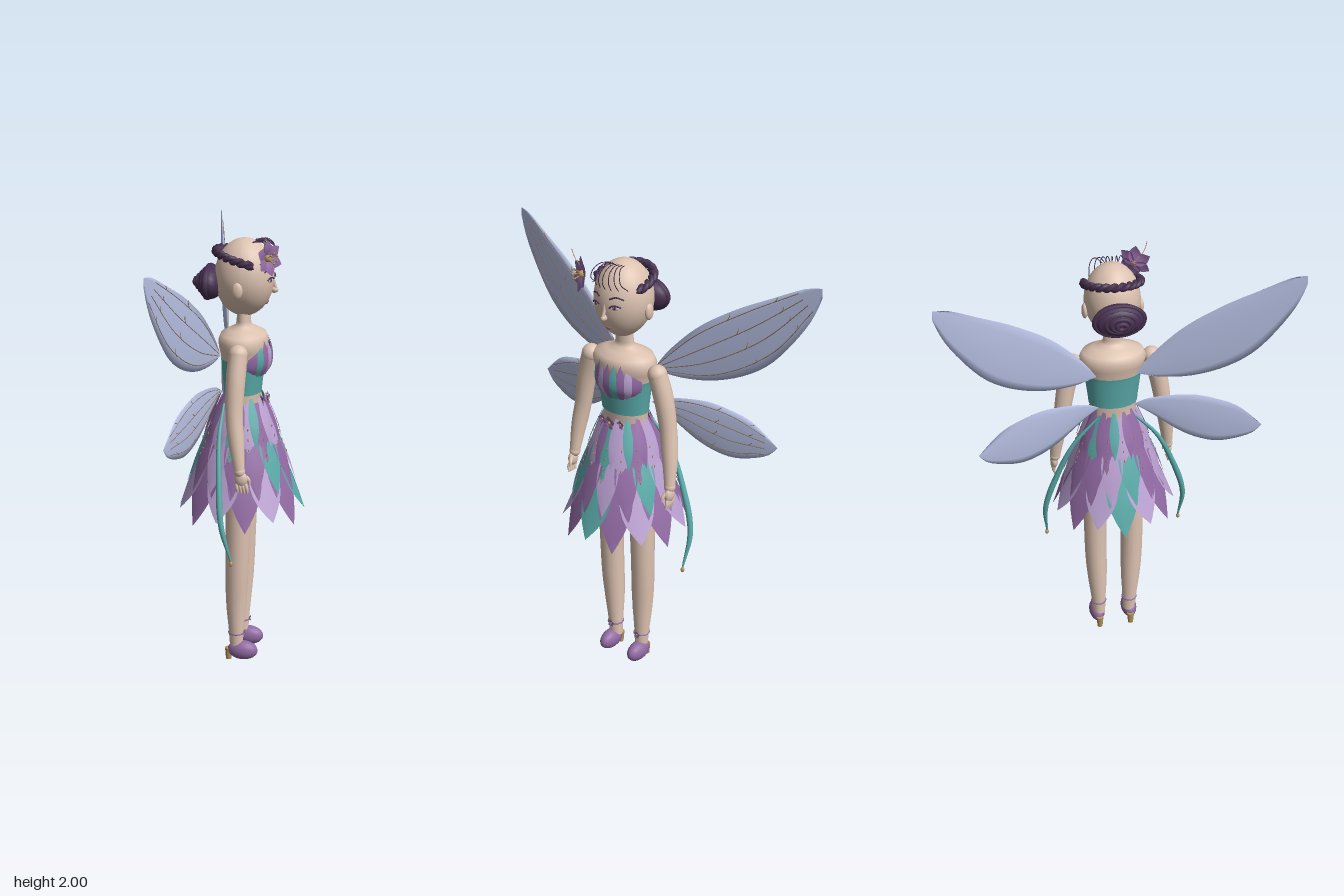
import * as THREE from 'three';

const mat = (name, color, double) => {
  const m = new THREE.MeshStandardMaterial({ color, side: double ? THREE.DoubleSide : THREE.FrontSide });
  m.name = name;
  return m;
};
const V = (x, y, z) => new THREE.Vector3(x, y, z);
const CZ = 0.255; // body axis, forward of the wing tips

export function createModel() {
  const skin = mat('skin', 0xdcc2b0), teal = mat('teal', 0x58a9a7, true), purple = mat('purple', 0x916aa3, true);
  const lilac = mat('lilac', 0xb9a0d0, true), hair = mat('darkHair', 0x46304f), gold = mat('gold', 0xb5965a);
  const wingMat = mat('wingBlue', 0xb6bfe2, true), vein = mat('veinBrown', 0x8f7354);
  const white = mat('eyeWhite', 0xefebe8), lip = mat('lip', 0x9c6068);

  const model = new THREE.Group();
  const figure = new THREE.Group();
  figure.name = 'wingedFigure';
  figure.rotation.y = Math.PI / 4;
  model.add(figure);

  const add = (name, geo, m, parent = figure) => {
    const mesh = new THREE.Mesh(geo, m);
    mesh.name = name;
    parent.add(mesh);
    return mesh;
  };
  const ball = (name, m, p, s, parent, seg = 20) => {
    const mesh = add(name, new THREE.SphereGeometry(1, seg, Math.ceil(seg * 0.7)), m, parent);
    mesh.position.set(...p);
    mesh.scale.set(...s);
    return mesh;
  };
  const surface = (pos, idx) => {
    const geo = new THREE.BufferGeometry();
    geo.setAttribute('position', new THREE.Float32BufferAttribute(pos, 3));
    geo.setIndex(idx);
    geo.computeVertexNormals();
    return geo;
  };
  const curveOf = pts => new THREE.CatmullRomCurve3(pts.map(p => V(...p)));
  const tube = (name, m, pts, r, parent, seg = 16, sides = 6) =>
    add(name, new THREE.TubeGeometry(curveOf(pts), seg, r, sides), m, parent);
  // Tube whose radius follows a list of values along its length
  const limb = (name, m, pts, radii, parent) => {
    const curve = curveOf(pts), seg = 28, sides = 16;
    const geo = new THREE.TubeGeometry(curve, seg, 1, sides), pos = geo.attributes.position, v = V(0, 0, 0);
    for (let i = 0; i < pos.count; i++) {
      const t = Math.floor(i / (sides + 1)) / seg, f = t * (radii.length - 1), k = Math.min(Math.floor(f), radii.length - 2);
      const c = curve.getPointAt(t), r = THREE.MathUtils.lerp(radii[k], radii[k + 1], f - k);
      v.fromBufferAttribute(pos, i).sub(c).multiplyScalar(r).add(c);
      pos.setXYZ(i, v.x, v.y, v.z);
    }
    return add(name, geo, m, parent);
  };
  const lathe = (name, m, profile, depth) => {
    const mesh = add(name, new THREE.LatheGeometry(profile.map(p => new THREE.Vector2(...p)), 40), m);
    mesh.scale.z = depth;
    mesh.position.z = CZ;
  };
  // Folded, pointed petal following a profile of [radius, y] around a vertical axis
  const petal = (name, m, angle, profile, width, { bias = 1, beads = 0, parent = figure } = {}) => {
    const curve = curveOf(profile.map(([r, y]) => [0, y, r])), n = 12, pos = [], idx = [];
    for (let i = 0; i <= n; i++) {
      const t = i / n, c = curve.getPoint(t), w = width * Math.sin(Math.PI * (0.1 + 0.9 * Math.pow(t, bias)));
      for (let s = -1; s <= 1; s++) pos.push(s * w, c.y, c.z - Math.abs(s) * w * 0.15);
      if (i < n) for (let s = 0; s < 2; s++) {
        const a = i * 3 + s;
        idx.push(a, a + 3, a + 1, a + 1, a + 3, a + 4);
      }
    }
    const g = new THREE.Group();
    g.name = name;
    g.rotation.y = angle;
    if (parent === figure) g.position.z = CZ;
    parent.add(g);
    add(name + 'Blade', surface(pos, idx), m, g);
    for (let i = 1; i <= beads; i++) {
      const c = curve.getPoint(0.25 + 0.7 * i / beads);
      ball(name + 'Bead', gold, [0, c.y, c.z + 0.002], [0.0025, 0.007, 0.0025], g, 6);
    }
  };

  // Torso, neck and strapless bodice
  lathe('torso', skin, [[0.1, 1.15], [0.106, 1.24], [0.108, 1.3], [0.123, 1.42], [0.145, 1.48], [0.152, 1.515], [0.138, 1.545],
    [0.09, 1.565], [0.05, 1.58], [0.043, 1.6], [0.042, 1.68]], 0.72);
  lathe('bodice', teal, [[0.112, 1.285], [0.114, 1.31], [0.122, 1.37], [0.128, 1.42], [0.133, 1.44]], 0.74);
  for (const s of [-1, 1]) ball('bust', purple, [s * 0.048, 1.44, 0.318], [0.052, 0.058, 0.046]);
  for (let i = 0; i < 9; i++)
    petal('bodicePetal', [purple, teal, purple, lilac][i % 4], (i - 4) * 0.26,
      [[0.1, 1.365], [0.126, 1.41], [0.13, 1.46], [0.113, 1.528]], i % 2 ? 0.024 : 0.03);

  // Petal skirt over a rounded underskirt
  lathe('underskirt', purple, [[0, 0.74], [0.07, 0.748], [0.13, 0.78], [0.16, 0.84], [0.163, 0.93], [0.14, 1.08], [0.11, 1.21], [0.1, 1.235]], 1);
  const N = 14;
  for (let i = 0; i < N; i++) {
    const a = i * 2 * Math.PI / N, odd = i % 2;
    petal('lowerPetal', i % 7 === 0 ? teal : odd ? purple : lilac, a,
      [[0.12, 1.15], [0.18, 1.0], [0.24, 0.86], [0.288, odd ? 0.71 : 0.75]], 0.076, { bias: 1.25 });
    petal('middlePetal', i % 5 === 2 ? teal : i % 3 ? purple : lilac, a + Math.PI / N,
      [[0.11, 1.2], [0.162, 1.09], [0.207, 0.98], [0.245, 0.86]], 0.05, { bias: 1.2 });
    petal('upperPetal', i % 5 === 0 ? teal : odd ? lilac : purple, a + 0.1,
      [[0.104, 1.25], [0.14, 1.16], [0.175, 1.06], [0.2, odd ? 0.95 : 1.0]], 0.03, { beads: 5 });
    petal('waistPetal', i % 5 === 1 ? teal : i % 3 ? purple : lilac, a + 0.3,
      [[0.1, 1.27], [0.132, 1.2], [0.16, 1.13], [0.178, 1.06]], 0.022);
  }

  // Small blossom with a gold centre, facing +z of its own group
  const blossom = (name, p, r, count, parent = figure) => {
    const g = new THREE.Group();
    g.name = name;
    g.position.set(...p);
    parent.add(g);
    for (let i = 0; i < count; i++) {
      const arm = new THREE.Group();
      arm.rotation.z = i * 2 * Math.PI / count;
      g.add(arm);
      petal(name + 'Petal', purple, 0, [[0, 0], [r * 0.25, r * 0.5], [r * 0.3, r]], r * 0.38, { parent: arm });
    }
    ball(name + 'Centre', gold, [0, 0, r * 0.15], [r * 0.2, r * 0.2, r * 0.2], g, 10);
    return g;
  };
  for (let i = -1; i <= 1; i++) blossom('beltFlower', [i * 0.05, 1.25, 0.362 - Math.abs(i) * 0.012], i ? 0.022 : 0.034, 5);

  // Head, ears and face
  const head = ball('head', skin, [0, 1.793, CZ], [0.125, 0.17, 0.13], figure, 40);
  const hp = head.geometry.attributes.position;
  for (let i = 0; i < hp.count; i++) if (hp.getY(i) < 0) hp.setX(i, hp.getX(i) * (1 - 0.18 * hp.getY(i) ** 2));
  head.geometry.computeVertexNormals();
  const onFace = (x, y, off = 0) => [x, y, CZ + off + 0.13 * Math.sqrt(1 - (x / 0.125) ** 2 - ((y - 1.793) / 0.17) ** 2)];
  ball('nose', skin, [0, 1.742, 0.386], [0.012, 0.014, 0.018]);
  tube('noseBridge', skin, [[0, 1.8, 0.378], [0, 1.77, 0.385], [0, 1.745, 0.394]], 0.008);
  ball('upperLip', lip, onFace(0, 1.69, -0.001), [0.017, 0.004, 0.006]);
  ball('lowerLip', lip, onFace(0, 1.683, -0.001), [0.013, 0.005, 0.007]);
  for (const s of [-1, 1]) {
    ball('ear', skin, [s * 0.125, 1.755, 0.245], [0.014, 0.036, 0.024]);
    const eye = new THREE.Group();
    eye.name = 'eye';
    eye.position.set(...onFace(s * 0.048, 1.793));
    eye.rotation.y = s * 0.4;
    figure.add(eye);
    ball('eyeWhite', white, [0, 0, 0], [0.021, 0.009, 0.004], eye);
    ball('iris', purple, [0, 0, 0.002], [0.01, 0.009, 0.004], eye);
    ball('pupil', hair, [0, 0, 0.004], [0.005, 0.006, 0.003], eye);
    tube('lashes', hair, [[-0.024, -0.001, 0.002], [-0.01, 0.009, 0.004], [0.01, 0.01, 0.004], [0.027, 0.003, 0.001]], 0.0035, eye);
    tube('brow', hair, [0.025, 0.05, 0.08].map((x, i) => onFace(s * x, [1.828, 1.838, 1.828][i], 0.001)), 0.0035);
  }

  // Hair: coiled bun, crown braid and loose fringe strands
  ball('bun', hair, [0, 1.765, 0.11], [0.112, 0.074, 0.058]);
  for (let i = 0; i < 5; i++) {
    const coil = add('bunCoil', new THREE.TorusGeometry(0.108 - i * 0.022, 0.013, 8, 36), hair);
    coil.position.set(0, 1.765, 0.1 - i * 0.014);
    coil.scale.y = 0.65;
  }
  for (const phase of [0, Math.PI]) {
    const pts = [];
    for (let i = 0; i <= 80; i++) {
      const t = i / 80, a = Math.PI * (-0.14 + 1.28 * t), w = phase + t * 44, r = 0.123 + 0.009 * Math.cos(w);
      pts.push([r * Math.cos(a), 1.862 + 0.045 * Math.sin(Math.PI * t) + 0.009 * Math.sin(w), CZ - r * Math.sin(a)]);
    }
    tube('crownBraid', hair, pts, 0.0115, figure, 160, 8);
  }
  for (let i = -3; i <= 3; i++) {
    const x = i * 0.024;
    tube('fringeStrand', hair, [[x * 0.5, 1.95, 0.295], [x * 0.75, 1.955, 0.34], [x * 0.95, 1.935, 0.378 - Math.abs(x) * 0.15],
      [x * 1.1, 1.9, 0.393 - Math.abs(x) * 0.3], onFace(x * 1.2, 1.865, 0.004)], 0.0019, figure, 20, 5);
  }
  const hairFlower = blossom('hairFlower', [-0.118, 1.9, 0.365], 0.078, 6);
  hairFlower.rotation.set(-0.15, -0.55, 0);
  for (let i = 0; i < 6; i++) {
    const a = i * Math.PI / 3 + 0.3, x = Math.cos(a) * 0.022, y = Math.sin(a) * 0.022;
    tube('stamen', gold, [[0, 0, 0], [x * 0.5, y * 0.5, 0.025], [x, y, 0.045]], 0.002, hairFlower, 6, 4);
    ball('stamenTip', gold, [x, y, 0.046], [0.005, 0.005, 0.005], hairFlower, 6);
  }
  tube('flowerTendril', gold, [[-0.13, 1.92, 0.36], [-0.165, 1.955, 0.365], [-0.18, 1.998, 0.37]], 0.0015);

  // Wing edges from root to tip, in the plane that sweeps back from the spine
  const spline = pts => new THREE.SplineCurve(pts.map(p => new THREE.Vector2(...p)));
  const wings = [
    ['upperWing', spline([[0.09, 1.46], [0.16, 1.56], [0.29, 1.69], [0.45, 1.795], [0.6, 1.87], [0.73, 1.932], [0.8, 1.945]]),
      spline([[0.09, 1.46], [0.2, 1.442], [0.35, 1.455], [0.5, 1.51], [0.62, 1.6], [0.745, 1.77], [0.8, 1.9], [0.8, 1.945]])],
    ['lowerWing', spline([[0.08, 1.3], [0.16, 1.335], [0.325, 1.353], [0.45, 1.33], [0.545, 1.29], [0.645, 1.2]]),
      spline([[0.08, 1.3], [0.16, 1.25], [0.28, 1.165], [0.38, 1.122], [0.475, 1.113], [0.595, 1.15], [0.645, 1.2]])],
  ];

  for (const s of [-1, 1]) {
    const side = new THREE.Group();
    side.name = s > 0 ? 'leftSide' : 'rightSide';
    side.scale.x = s;
    figure.add(side);

    for (const [name, top, bottom] of wings) {
      // Point at length t and chord fraction f, raised off the wing plane
      const at = (t, f, lift) => {
        const p = bottom.getPointAt(t).lerp(top.getPointAt(t), f);
        return [p.x, p.y, 0.192 - 0.238 * p.x + lift * Math.sin(Math.PI * t)];
      };
      // Thin lens built from closed elliptical sections
      const pos = [], idx = [], n = 24, k = 8;
      for (let i = 0; i <= n; i++) for (let j = 0; j < k; j++) {
        const a = j * 2 * Math.PI / k, b = i * k + j, c = i * k + (j + 1) % k;
        pos.push(...at(i / n, 0.5 + 0.5 * Math.cos(a), 0.011 * Math.sin(a)));
        if (i < n) idx.push(b, b + k, c, c, b + k, c + k);
      }
      add(name, surface(pos, idx), wingMat, side);
      // Long veins with short side branches on the front
      for (const f of [0.12, 0.38, 0.64, 0.9]) {
        const lift = 0.022 * Math.sqrt(f * (1 - f));
        tube(name + 'Vein', vein, [0.04, 0.3, 0.6, 0.88].map(t => at(t, f, lift)), 0.0018, side, 16, 4);
        for (const t of [0.5, 0.75]) tube(name + 'Branch', vein, [at(t, f, lift), at(t + 0.02, f + 0.04, lift), at(t + 0.03, f + 0.09, lift)], 0.0015, side, 4, 4);
      }
    }

    // Arm and hand
    ball('shoulder', skin, [0.18, 1.492, 0.262], [0.042, 0.042, 0.042], side);
    limb('arm', skin, [[0.18, 1.495, 0.262], [0.212, 1.38, 0.258], [0.236, 1.24, 0.258], [0.255, 1.12, 0.272], [0.268, 0.995, 0.29]],
      [0.041, 0.043, 0.041, 0.038, 0.037, 0.031, 0.023], side);
    ball('wrist', skin, [0.268, 0.995, 0.29], [0.025, 0.025, 0.025], side);
    ball('palm', skin, [0.272, 0.962, 0.298], [0.018, 0.034, 0.028], side);
    for (let i = 0; i < 4; i++)
      limb('finger', skin, [[0.274, 0.945, 0.278 + i * 0.013], [0.277, 0.925, 0.281 + i * 0.014], [0.272, 0.9, 0.284 + i * 0.014]], [0.0085, 0.008, 0.004], side);
    limb('thumb', skin, [[0.266, 0.975, 0.315], [0.26, 0.955, 0.33], [0.258, 0.935, 0.333]], [0.01, 0.008, 0.004], side);

    // Leg, heeled slipper and ankle strap
    limb('leg', skin, [[0.088, 0.85, 0.255], [0.089, 0.65, 0.255], [0.088, 0.45, 0.253], [0.082, 0.28, 0.25], [0.075, 0.07, 0.252]],
      [0.06, 0.058, 0.056, 0.054, 0.053, 0.051, 0.045, 0.036, 0.03], side);
    ball('shoe', purple, [0.081, 0.052, 0.283], [0.038, 0.046, 0.07], side);
    const heel = add('heel', new THREE.CylinderGeometry(0.018, 0.013, 0.055, 12), gold, side);
    heel.position.set(0.078, 0.0275, 0.217);
    const strap = add('ankleStrap', new THREE.TorusGeometry(0.034, 0.004, 8, 24), purple, side);
    strap.position.set(0.077, 0.138, 0.251);
    strap.rotation.x = Math.PI / 2;
    blossom('ankleFlower', [0.077, 0.14, 0.286], 0.02, 5, side);

    // Trailing sash with a bead at its end
    limb('sash', teal, [[0.08, 1.24, 0.185], [0.19, 1.12, 0.185], [0.272, 0.95, 0.2], [0.33, 0.76, 0.222], [0.322, 0.595, 0.265]],
      [0.005, 0.009, 0.012, 0.014, 0.012, 0.004], side);
    ball('sashBead', gold, [0.322, 0.583, 0.266], [0.009, 0.012, 0.009], side, 10);
  }
  return model;
}
